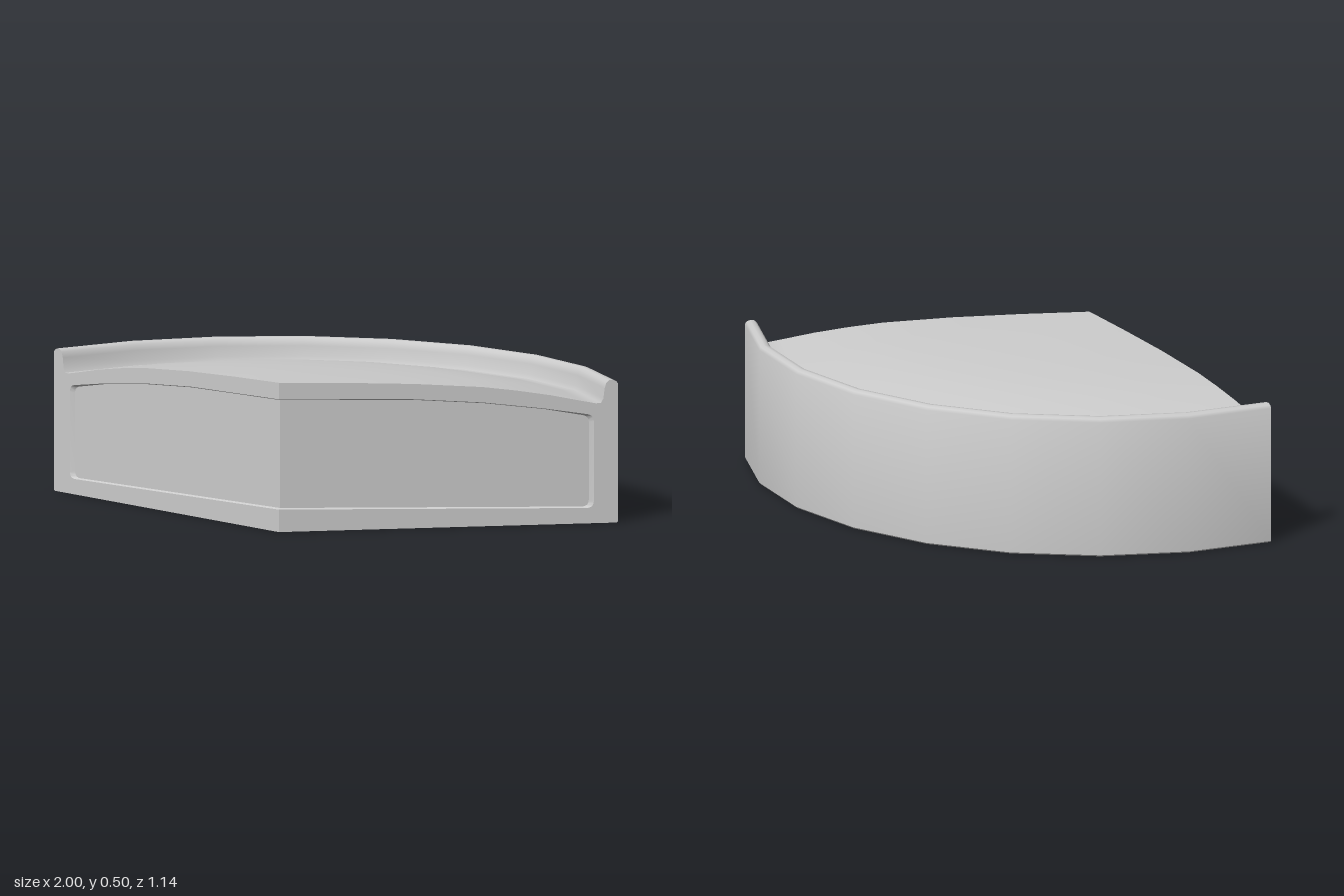
import * as THREE from 'three';
import { toCreasedNormals } from 'three/addons/utils/BufferGeometryUtils.js';

const HALF_ANGLE = Math.PI / 3;
const SEGMENTS = 8;
const TIP_Z = 0.57;
const RECESS = 0.011;

// Section of the slice from tip to rim: [distance 0..1, height]
const PROFILE = [
  [0, 0], [0.996, 0], [1, 0.005], [1, 0.468], [0.995, 0.478], [0.985, 0.483],
  [0.973, 0.482], [0.965, 0.474], [0.96, 0.455], [0.956, 0.42], [0.949, 0.406],
  [0.935, 0.405], [0.9, 0.413], [0.8, 0.437], [0.7, 0.456], [0.6, 0.471],
  [0.4, 0.488], [0.2, 0.498], [0, 0.505],
];

function geometryFrom(positions, index) {
  const g = new THREE.BufferGeometry();
  g.setAttribute('position', new THREE.Float32BufferAttribute(positions, 3));
  g.setIndex(index);
  return g;
}

// Sweep the section around the tip, with single triangles where it meets the axis
function sweptBody() {
  const pos = [], index = [], n = PROFILE.length;
  for (let i = 0; i <= SEGMENTS; i++) {
    const a = -HALF_ANGLE + (2 * HALF_ANGLE * i) / SEGMENTS;
    for (const [t, y] of PROFILE) {
      pos.push(t * Math.sin(a) / Math.sin(HALF_ANGLE), y, TIP_Z - 2 * TIP_Z * t * Math.cos(a));
    }
  }
  for (let i = 0; i < SEGMENTS; i++) {
    for (let j = 0; j < n - 1; j++) {
      const a = i * n + j, b = a + 1, c = a + n, d = c + 1;
      if (j < n - 2) index.push(a, b, d);
      if (j > 0) index.push(a, d, c);
    }
  }
  return toCreasedNormals(geometryFrom(pos, index), 0.7);
}

// Outline of the recess in a cut face, open at the tip
function recessOutline(insetX, insetY) {
  const end = 0.928 - insetX, low = 0.052 + insetY, high = 0.367 - insetY, r = 0.022;
  const s = new THREE.Shape();
  s.moveTo(0, 0.076 + insetY);
  s.lineTo(end - r, low);
  s.quadraticCurveTo(end, low, end, low + r);
  s.lineTo(end, high - r);
  s.quadraticCurveTo(end, high, end - r, high + 0.003);
  s.lineTo(0.78, 0.393 - insetY);
  s.lineTo(0.6, 0.419 - insetY);
  s.lineTo(0.39, 0.437 - insetY);
  s.lineTo(0, 0.449 - insetY);
  return s.getPoints(6);
}

// Place a flat (distance, height) point on the cut face of the given side
const onFace = (p, side, depth) => [side * p.x, p.y, TIP_Z * (1 - p.x) - depth];

function flatFace(points, side, depth) {
  const g = new THREE.ShapeGeometry(new THREE.Shape(points));
  const p = g.attributes.position;
  for (let i = 0; i < p.count; i++) {
    p.setXYZ(i, ...onFace({ x: p.getX(i), y: p.getY(i) }, side, depth));
  }
  if (side < 0) g.setIndex(Array.from(g.index.array).reverse());
  g.computeVertexNormals();
  return g;
}

// Bevelled wall joining the frame to the sunken panel
function recessWall(outer, inner, side) {
  const pos = [], index = [];
  outer.forEach((p, i) => pos.push(...onFace(p, side, 0), ...onFace(inner[i], side, RECESS)));
  for (let i = 0; i < outer.length - 1; i++) {
    const a = 2 * i;
    index.push(a, a + 2, a + 1, a + 1, a + 2, a + 3);
  }
  if (side < 0) index.reverse();
  return toCreasedNormals(geometryFrom(pos, index), 0.6);
}

export function createModel() {
  const model = new THREE.Group();
  model.name = 'wedgeSlice';
  const material = new THREE.MeshStandardMaterial({ color: 0xcccccc });
  const add = (name, geometry) => {
    const mesh = new THREE.Mesh(geometry, material);
    mesh.name = name;
    model.add(mesh);
  };

  add('crustAndTop', sweptBody());

  const outer = recessOutline(0, 0);
  const inner = recessOutline(0.018, 0.004);
  const section = PROFILE.map(([t, y]) => new THREE.Vector2(t, y));
  const frame = [...section, ...outer.slice().reverse()];
  for (const [side, label] of [[1, 'left'], [-1, 'right']]) {
    add(label + 'Frame', flatFace(frame, side, 0));
    add(label + 'RecessWall', recessWall(outer, inner, side));
    add(label + 'Panel', flatFace(inner, side, RECESS));
  }
  return model;
}
